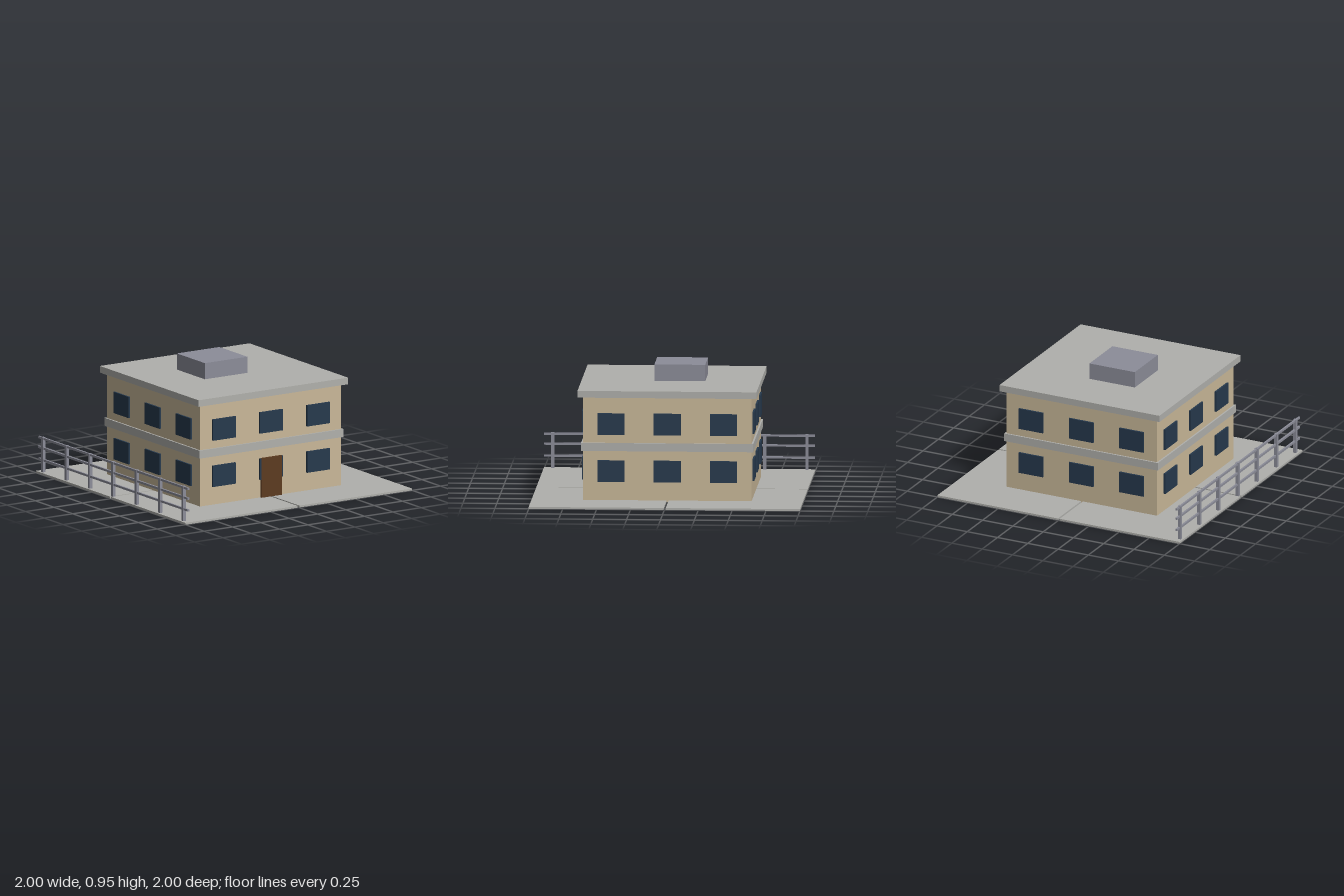
import * as THREE from 'three';

const mat = (name, color) => Object.assign(new THREE.MeshStandardMaterial({ color }), { name });

export function createModel() {
  const wall = mat('wall plaster', 0xc9b899);
  const concrete = mat('concrete', 0xb0b0ac);
  const glass = mat('window glass', 0x26394d);
  const wood = mat('door wood', 0x5c3a1e);
  const metal = mat('grey metal', 0x8c8d99);

  const model = new THREE.Group();
  model.name = 'building';

  // Box given by its minimum and maximum corners
  const box = (name, material, [x0, y0, z0], [x1, y1, z1], parent = model) => {
    const mesh = new THREE.Mesh(new THREE.BoxGeometry(x1 - x0, y1 - y0, z1 - z0), material);
    mesh.position.set((x0 + x1) / 2, (y0 + y1) / 2, (z0 + z1) / 2);
    mesh.name = name;
    parent.add(mesh);
    return mesh;
  };

  // Four ground slabs with narrow joints between them
  const spans = [[-1, -0.01], [0.005, 1]];
  for (const [x0, x1] of spans)
    for (const [z0, z1] of spans)
      box('groundSlab', concrete, [x0, 0, z0], [x1, 0.014, z1]);

  // Main block, floor band, roof slab and rooftop unit
  box('walls', wall, [-0.622, 0.001, -0.622], [0.622, 0.78, 0.622]);
  box('floorBand', concrete, [-0.635, 0.38, -0.635], [0.635, 0.44, 0.635]);
  box('roofSlab', concrete, [-0.66, 0.78, -0.66], [0.66, 0.83, 0.66]);
  box('rooftopUnit', metal, [-0.25, 0.83, -0.252], [0.125, 0.952, 0.123]);

  // Two rows of three windows on each side
  for (let side = 0; side < 4; side++) {
    const facade = new THREE.Group();
    facade.name = 'windows' + ['Front', 'Left', 'Back', 'Right'][side];
    facade.rotation.y = side * Math.PI / 2;
    for (const y of [0.15, 0.5])
      for (const x of [-0.415, 0, 0.415])
        box('window', glass, [x - 0.1, y, 0.627], [x + 0.1, y + 0.16, 0.636], facade);
    model.add(facade);
  }

  // Door plates: lower leaf on the wall, thin face over the middle window
  box('door', wood, [-0.09, 0.014, 0.629], [0.09, 0.312, 0.638]);

  // Close the small gap behind the plates
  for (const y of [0.15, 0.5])
    for (const x of [-0.415, 0, 0.415])
      for (const s of [-1, 1]) {
        const a = 0.621 * s, b = 0.628 * s, lo = Math.min(a, b), hi = Math.max(a, b);
        box('windowReveal', glass, [x - 0.1, y, lo], [x + 0.1, y + 0.16, hi]);
        box('windowReveal', glass, [lo, y, x - 0.1], [hi, y + 0.16, x + 0.1]);
      }
  box('doorReveal', wood, [-0.09, 0.014, 0.621], [0.09, 0.312, 0.63]);

  // Fence along one edge of the ground
  const fence = new THREE.Group();
  fence.name = 'fence';
  for (let i = -3; i <= 3; i++) {
    const z = -0.003 + i * 0.3125;
    box('fencePost', metal, [-0.985, 0.001, z - 0.012], [-0.961, 0.277, z + 0.012], fence);
  }
  for (const y of [0.104, 0.193, 0.267])
    box('fenceRail', metal, [-0.98, y - 0.008, -1], [-0.966, y + 0.008, 1], fence);
  model.add(fence);

  return model;
}
